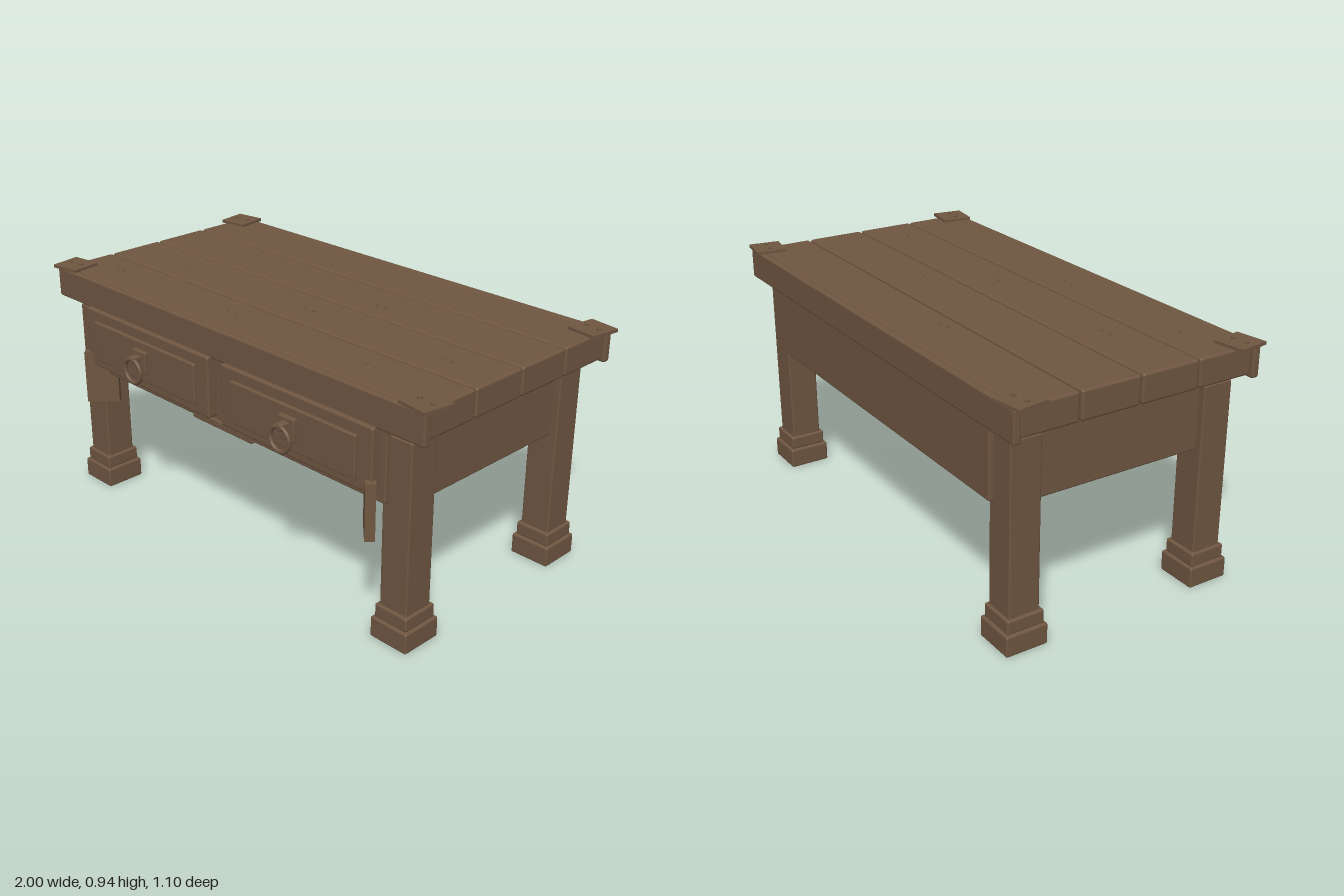
import * as THREE from 'three';
import { RoundedBoxGeometry } from 'three/addons/geometries/RoundedBoxGeometry.js';

const wood = new THREE.MeshStandardMaterial({ color: 0x6f5641 });
wood.name = 'brown wood';

export function createModel() {
  const model = new THREE.Group();
  model.name = 'coffeeTable';

  const add = (name, geometry, x, y, z, parent = model) => {
    const mesh = new THREE.Mesh(geometry, wood);
    mesh.name = name;
    mesh.position.set(x, y, z);
    parent.add(mesh);
    return mesh;
  };
  // Box given by its [min, max] on each axis, with softened edges when r > 0
  const block = (name, [x0, x1], [y0, y1], [z0, z1], r = 0.007, parent = model) => {
    const s = [x1 - x0, y1 - y0, z1 - z0];
    const geometry = r ? new RoundedBoxGeometry(...s, 2, r) : new THREE.BoxGeometry(...s);
    return add(name, geometry, (x0 + x1) / 2, (y0 + y1) / 2, (z0 + z1) / 2, parent);
  };

  // Table top planks and the long edge boards
  const planks = [[-0.505, -0.28], [-0.272, -0.038], [-0.031, 0.203], [0.21, 0.435]];
  for (const z of planks) block('plank', [-0.964, 0.964], [0.82, 0.927], z, 0.009);
  block('frontEdgeBoard', [-0.975, 0.975], [0.808, 0.927], [0.435, 0.466], 0.008);
  block('backEdgeBoard', [-0.975, 0.975], [0.808, 0.927], [-0.535, -0.505], 0.008);

  // Nail pairs: z of the row, then x of each pair
  const nail = new THREE.CylinderGeometry(0.004, 0.004, 0.008, 8);
  const rows = [[-0.335, -0.24], [-0.122, 0.25], [0.095, -0.6, 0.09, 0.75], [0.312, -0.76, -0.09, 0.6]];
  for (const [z, ...xs] of rows)
    for (const x of xs)
      for (const dx of [-0.022, 0.022]) add('nail', nail, x + dx, 0.927, z);

  // Skewed corner plates with two rivets
  const rivet = new THREE.CylinderGeometry(0.008, 0.008, 0.012, 10);
  for (const side of [-1, 1]) {
    for (const z of [-0.481, 0.411]) {
      const corner = new THREE.Group();
      corner.name = 'cornerPlate';
      add('plate', new THREE.BoxGeometry(0.123, 0.012, 0.123), 0, 0, 0, corner);
      for (const dx of [-0.03, 0.03]) add('rivet', rivet, dx, 0.006, 0, corner);
      corner.position.set(side * 0.93, 0.932, z);
      corner.rotation.y = -side * 0.15;
      model.add(corner);
    }
  }

  // Legs with stepped feet
  for (const x of [-0.832, 0.832]) {
    for (const z of [-0.43, 0.364]) {
      const around = (c, h) => [c - h, c + h];
      block('leg', around(x, 0.061), [0.1, 0.782], around(z, 0.061), 0.007);
      block('legCollar', around(x, 0.072), [0.08, 0.133], around(z, 0.073), 0.007);
      block('foot', around(x, 0.082), [0, 0.08], around(z, 0.083), 0.007);
    }
  }

  // Apron boards
  block('frontApron', [-0.8, 0.8], [0.533, 0.825], [0.37, 0.443]);
  block('backApron', [-0.8, 0.8], [0.533, 0.825], [-0.51, -0.436]);
  for (const s of [-1, 1])
    block('sideApron', [s * 0.825 - 0.04, s * 0.825 + 0.04], [0.533, 0.828], [-0.436, 0.369]);
  block('lowerRailStrip', [-0.163, 0.163], [0.53, 0.56], [0.42, 0.455], 0.005);

  // Angled brackets beside the drawers
  for (const s of [-1, 1]) {
    const bracket = add('cornerBracket', new THREE.BoxGeometry(0.13, 0.215, 0.036), s * 0.739, 0.518, 0.451);
    bracket.rotation.y = -s * Math.PI / 4;
  }

  // Drawers: front, raised panel, open box behind and ring pull
  for (const s of [-1, 1]) {
    const drawer = new THREE.Group();
    drawer.name = 'drawer';
    drawer.position.x = s * 0.405;
    model.add(drawer);
    block('drawerFront', [-0.37, 0.37], [0.573, 0.815], [0.435, 0.483], 0.008, drawer);
    block('drawerPanel', [-0.305, 0.305], [0.61, 0.772], [0.475, 0.496], 0.005, drawer);

    block('drawerBottom', [-0.355, 0.355], [0.575, 0.595], [-0.09, 0.38], 0, drawer);
    block('drawerBack', [-0.355, 0.355], [0.595, 0.76], [-0.09, -0.065], 0, drawer);
    for (const e of [-0.3425, 0.3425])
      block('drawerSide', [e - 0.0125, e + 0.0125], [0.595, 0.76], [-0.065, 0.38], 0, drawer);

    block('pullPlate', [-0.04, 0.04], [0.654, 0.741], [0.49, 0.514], 0.004, drawer);
    block('pullStem', [-0.016, 0.016], [0.7, 0.726], [0.51, 0.548], 0.005, drawer);
    add('pullRing', new THREE.TorusGeometry(0.047, 0.008, 10, 32), 0, 0.668, 0.542, drawer);
  }

  return model;
}
